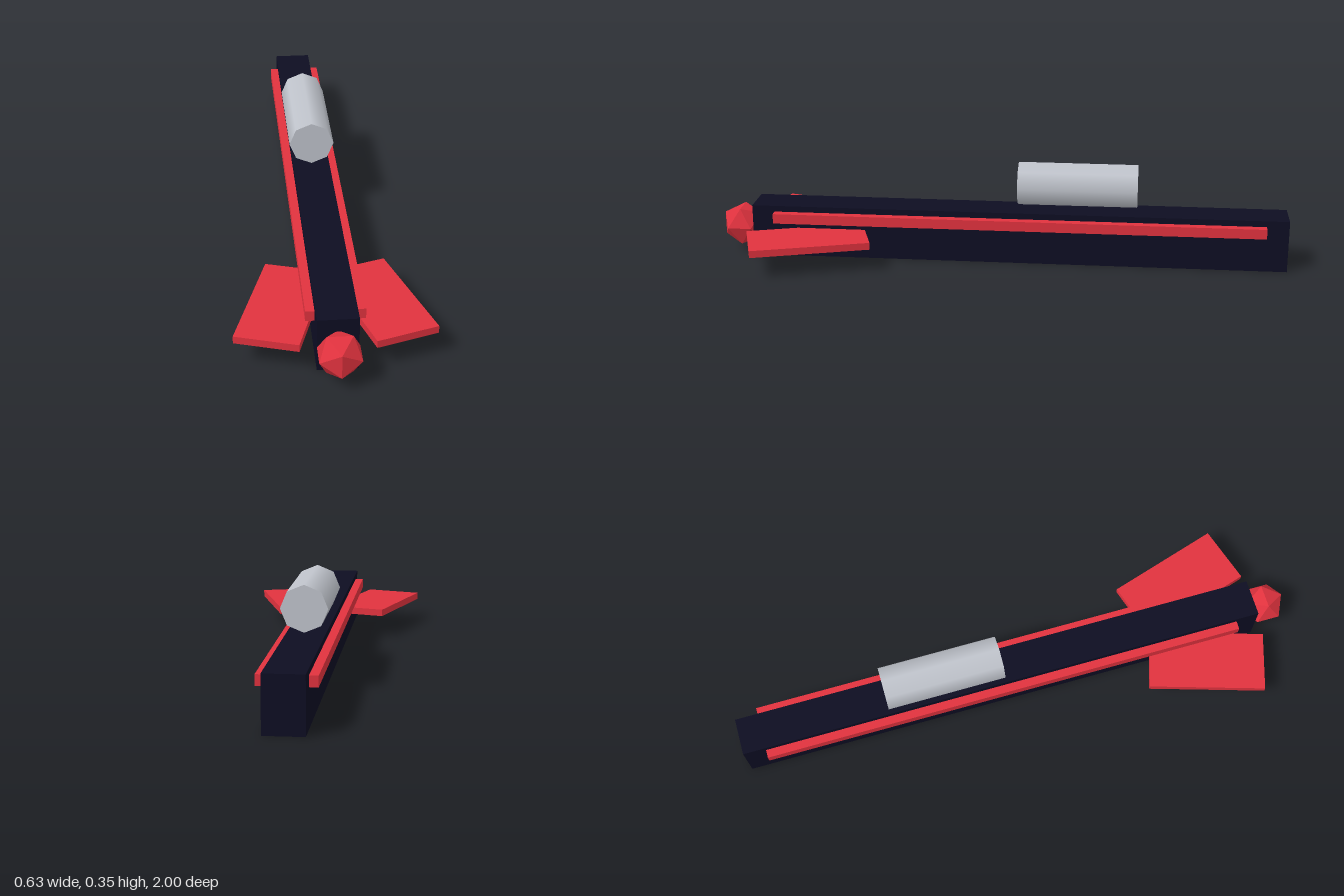
import * as THREE from 'three';

export function createModel() {
  const model = new THREE.Group();
  const material = (name, color, flatShading = false) => {
    const m = new THREE.MeshStandardMaterial({ color, flatShading });
    m.name = name;
    return m;
  };
  const navy = material('navy', 0x0d0d22);
  const red = material('red', 0xe0323e, true);
  const silver = material('silver', 0xc0c4cc);

  const add = (name, geometry, mat, x, y, z) => {
    const mesh = new THREE.Mesh(geometry, mat);
    mesh.name = name;
    mesh.position.set(x, y, z);
    model.add(mesh);
    return mesh;
  };

  // Long square-section body
  add('body', new THREE.BoxGeometry(0.13, 0.184, 1.882), navy, 0, 0.092, -0.059);

  // Faceted nose, half sunk into the front of the body
  add('nose', new THREE.IcosahedronGeometry(0.0775), red, 0, 0.094, 0.934);

  // Eight-sided canister floating above the body
  const canister = new THREE.CylinderGeometry(0.078, 0.078, 0.416, 8).rotateX(Math.PI / 2);
  add('canister', canister, silver, 0, 0.275, -0.269);

  // Side rails and swept fins, mirrored
  for (const [side, s] of [['left', 1], ['right', -1]]) {
    add(side + 'Rail', new THREE.BoxGeometry(0.035, 0.035, 1.725), red, s * 0.0765, 0.1455, -0.06);
    const fin = add(side + 'Fin', new THREE.BoxGeometry(0.208, 0.025, 0.411), red, s * 0.157, 0.0925, 0.666);
    fin.rotation.y = s * 0.3;
  }
  return model;
}
